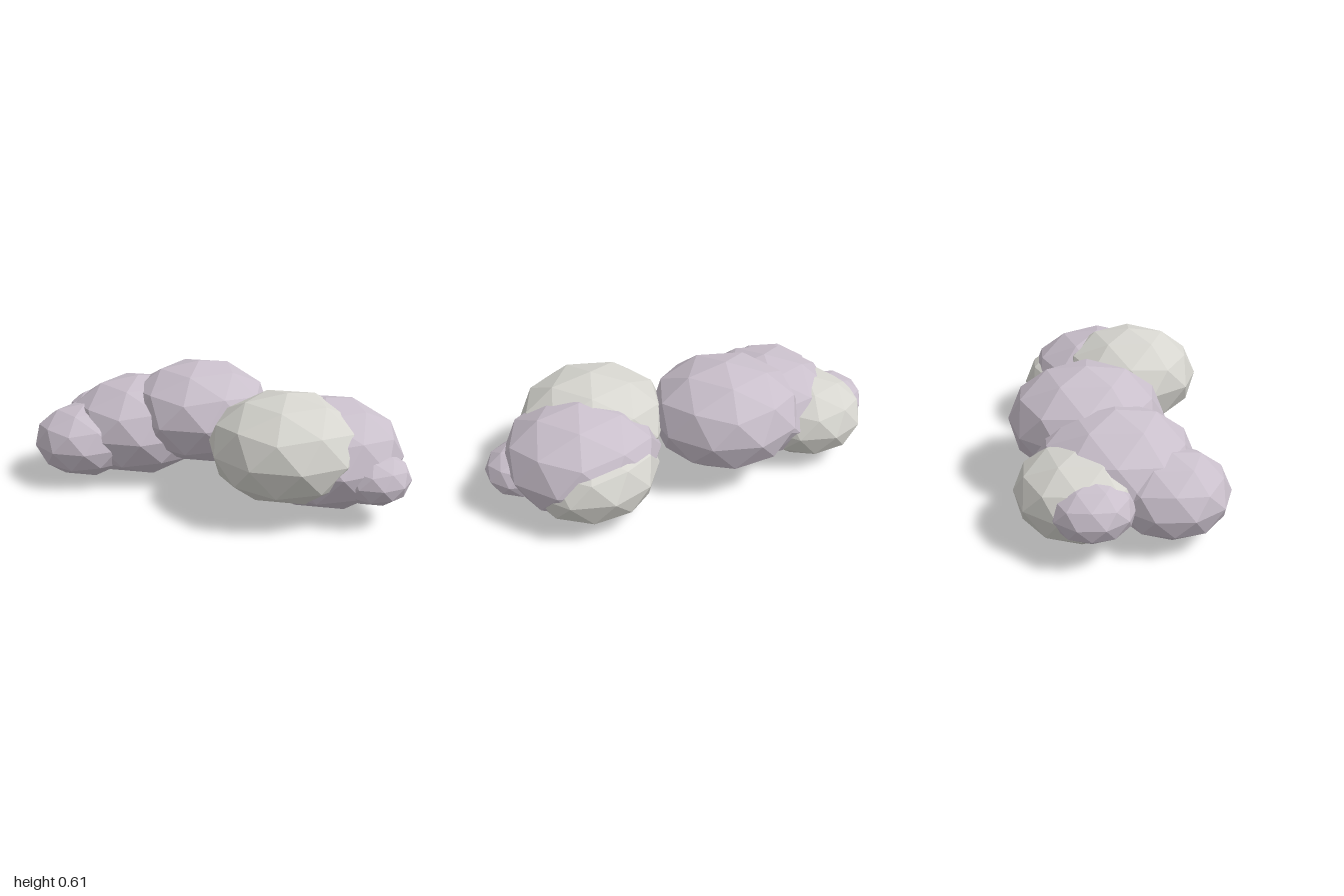
import * as THREE from 'three';

export function createModel() {
  const group = new THREE.Group();
  group.name = 'cloud';

  const mauve = new THREE.MeshStandardMaterial({ color: 0xc9bfcb, flatShading: true });
  mauve.name = 'mauve';
  const paleGrey = new THREE.MeshStandardMaterial({ color: 0xd6d5cf, flatShading: true });
  paleGrey.name = 'pale grey';

  // Faceted ball with a vertex at the top, flattened vertically
  const puff = new THREE.IcosahedronGeometry(1, 1);
  puff.rotateZ(-Math.atan(2 / (1 + Math.sqrt(5))));
  const flatten = 0.7;

  // name, material, radius, centre
  const puffs = [
    ['centrePuff', mauve, 0.38, [-0.18, 0.35, -0.13]],
    ['rightMiddlePuff', mauve, 0.375, [-0.48, 0.265, 0]],
    ['rightFrontPuff', mauve, 0.27, [-0.655, 0.217, 0.235]],
    ['rightBackPuff', paleGrey, 0.3, [-0.652, 0.228, -0.15]],
    ['rightEndPuff', mauve, 0.19, [-0.82, 0.24, -0.107]],
    ['leftFrontPuff', paleGrey, 0.37, [0.432, 0.335, 0.098]],
    ['leftMiddlePuff', mauve, 0.38, [0.555, 0.278, -0.073]],
    ['leftBackPuff', paleGrey, 0.325, [0.545, 0.24, -0.162]],
    ['leftEndPuff', mauve, 0.178, [0.83, 0.225, 0]],
  ];

  for (const [name, material, radius, centre] of puffs) {
    const mesh = new THREE.Mesh(puff, material);
    mesh.name = name;
    mesh.scale.set(radius, radius * flatten, radius);
    mesh.position.set(...centre);
    group.add(mesh);
  }
  return group;
}
